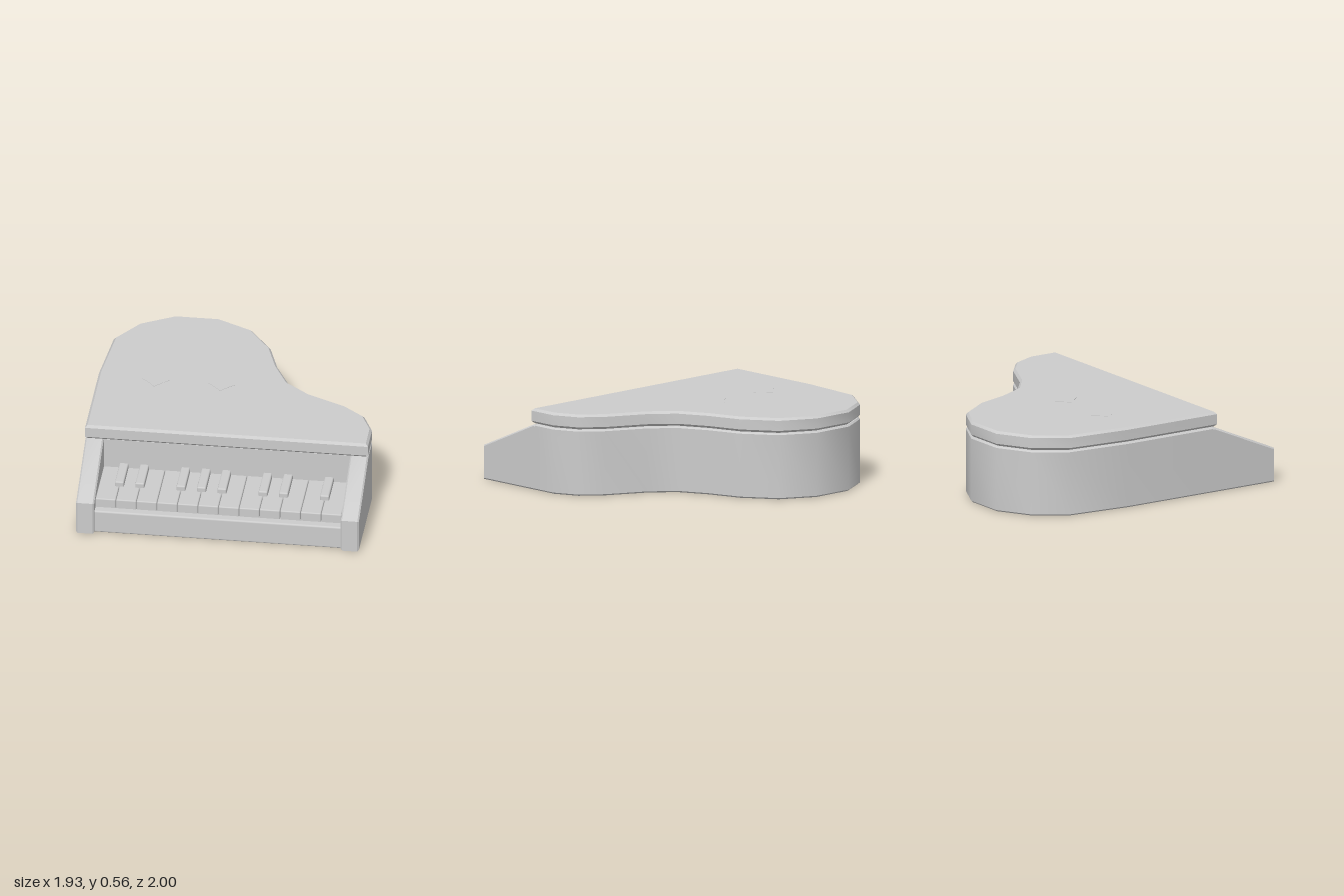
import * as THREE from 'three';
import { toCreasedNormals } from 'three/addons/utils/BufferGeometryUtils.js';
import { RoundedBoxGeometry } from 'three/addons/geometries/RoundedBoxGeometry.js';

// Plan of the case as [x, z], without the straight front edge
const PLAN = [
  [-0.967, -0.2], [-0.925, -0.66], [-0.78, -0.87], [-0.55, -1], [-0.25, -1],
  [-0.01, -0.88], [0.145, -0.66], [0.22, -0.43], [0.32, -0.23], [0.48, -0.1],
  [0.75, 0.03], [0.89, 0.145], [0.963, 0.31],
];

const toShape = (points) => new THREE.Shape(points.map(([x, y]) => new THREE.Vector2(x, y)));

// Bevelled extrusion that keeps the size of its outline
function slab(points, depth, bevel) {
  const geometry = new THREE.ExtrudeGeometry(toShape(points), {
    depth: depth - 2 * bevel, bevelEnabled: bevel > 0, bevelSize: bevel,
    bevelThickness: bevel, bevelOffset: -bevel, bevelSegments: 1,
  });
  geometry.translate(0, 0, bevel);
  return toCreasedNormals(geometry, 0.7);
}

// Horizontal slab with a plan in x and z, between two heights
function planSlab(points, bottom, top, bevel) {
  return slab(points, top - bottom, bevel).rotateX(Math.PI / 2).translate(0, top, 0);
}

export function createModel() {
  const group = new THREE.Group();
  const grey = new THREE.MeshStandardMaterial({ color: 0xcccccc });
  grey.name = 'light grey';

  const add = (name, geometry) => {
    const mesh = new THREE.Mesh(geometry, grey);
    mesh.name = name;
    group.add(mesh);
  };
  // Rounded box given by its limits
  const block = (name, [x0, x1], [y0, y1], [z0, z1], radius) => {
    const geometry = new RoundedBoxGeometry(x1 - x0, y1 - y0, z1 - z0, 2, radius);
    add(name, geometry.translate((x0 + x1) / 2, (y0 + y1) / 2, (z0 + z1) / 2));
  };
  const planTo = (front) => [[-0.967, front], ...PLAN, [0.963, front]];

  // Curved case and overhanging lid
  add('case', planSlab(planTo(0.49), 0, 0.455, 0.01));
  add('lid', planSlab(planTo(0.525), 0.458, 0.56, 0.016));

  // Sloping cheeks on both sides of the keyboard
  const cheek = [[0.46, 0], [1, 0], [1, 0.235], [0.51, 0.45], [0.46, 0.45]];
  for (const [name, x] of [['rightCheek', -0.843], ['leftCheek', 0.963]]) {
    add(name, slab(cheek, 0.124, 0.01).rotateY(-Math.PI / 2).translate(x, 0, 0));
  }

  // Key bed with its front ledge
  block('keyBed', [-0.86, 0.85], [0, 0.165], [0.45, 0.975], 0.012);

  // Twelve white keys, and black keys over some of the gaps
  const pitch = 0.14;
  const left = -0.845;
  for (let i = 0; i < 12; i++) {
    const x = left + i * pitch;
    block('whiteKey', [x + 0.001, x + pitch - 0.001], [0.15, 0.23], [0.46, 0.917], 0.008);
  }
  for (const i of [1, 2, 4, 5, 6, 8, 9, 11]) {
    const x = left + i * pitch;
    block('blackKey', [x - 0.031, x + 0.031], [0.2, 0.265], [0.46, 0.74], 0.01);
  }

  // Thin four-pointed inlays on the lid
  for (const x of [-0.57, -0.12]) {
    const star = [];
    for (let i = 0; i < 8; i++) {
      const r = i % 2 ? 0.062 : 0.094;
      const a = (i * Math.PI) / 4;
      star.push([x + r * Math.cos(a), -0.142 + r * Math.sin(a)]);
    }
    add('lidInlay', planSlab(star, 0.558, 0.562, 0));
  }

  return group;
}
